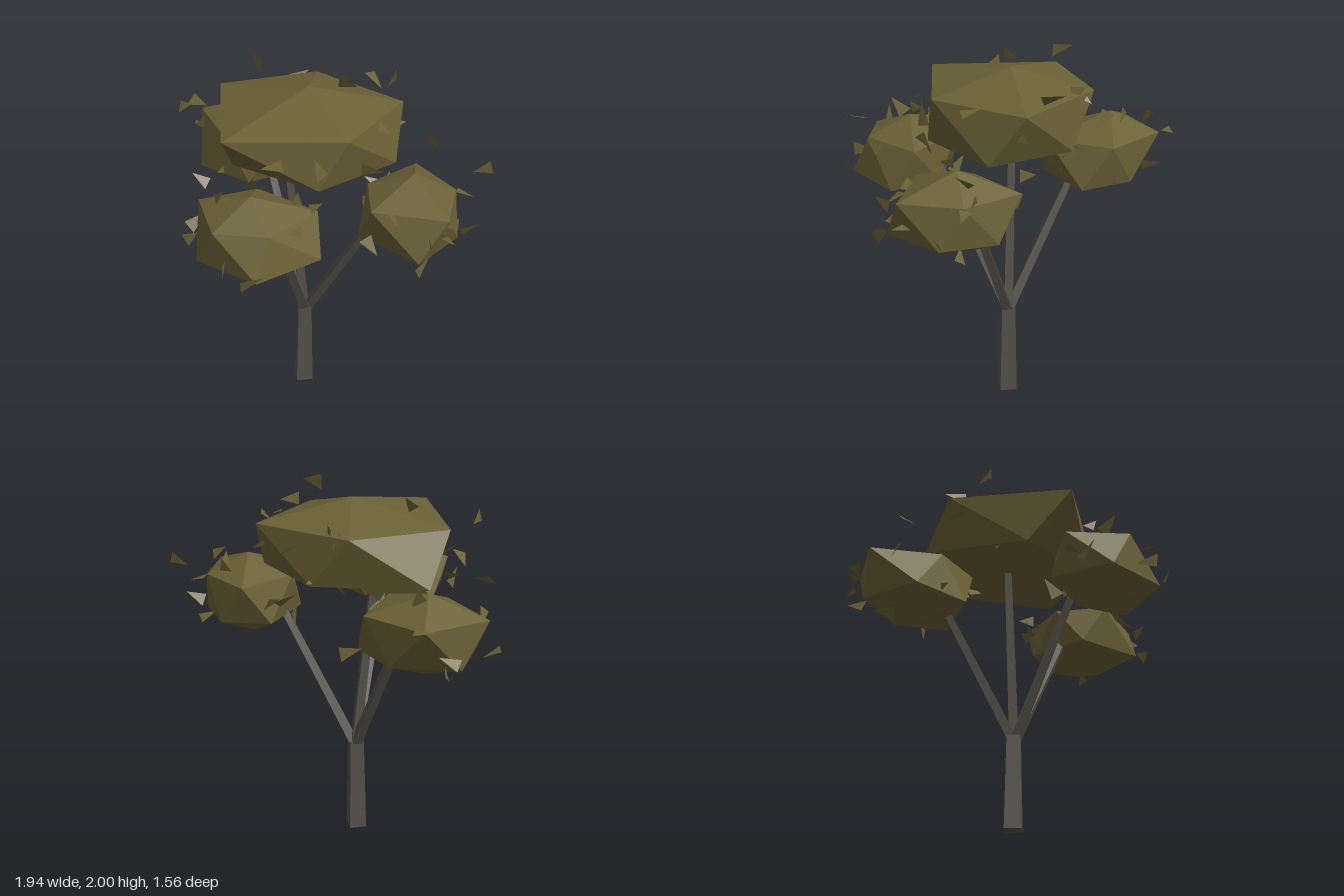
import * as THREE from 'three';

const bark = new THREE.MeshStandardMaterial({ color: 0x56524a });
bark.name = 'bark';
const foliage = new THREE.MeshStandardMaterial({ color: 0x6b6136, side: THREE.DoubleSide });
foliage.name = 'foliage';
bark.flatShading = foliage.flatShading = true;

// small seeded generator for the loose leaves
let seed = 11;
const rnd = () => {
  seed = (seed * 16807) % 2147483647;
  return seed / 2147483647;
};
const spread = () => rnd() * 2 - 1;

function facets(points, name) {
  const geo = new THREE.BufferGeometry().setFromPoints(points);
  geo.computeVertexNormals();
  const mesh = new THREE.Mesh(geo, foliage);
  mesh.name = name;
  return mesh;
}

// twenty-sided clump: top point, two staggered rings of five, bottom point
function clump({ name, top, bottom, upperY, lowerY, upper, lower }) {
  const T = new THREE.Vector3(...top), B = new THREE.Vector3(...bottom);
  const u = upper.map(([x, z]) => new THREE.Vector3(x, upperY, z));
  const l = lower.map(([x, z]) => new THREE.Vector3(x, lowerY, z));
  const pts = [];
  for (let i = 0; i < 5; i++) {
    const j = (i + 1) % 5;
    pts.push(T, u[i], u[j], u[i], l[i], u[j], l[i], l[j], u[j], B, l[j], l[i]);
  }
  return facets(pts, name);
}

// tapered square limb between two points
function limb(name, from, to, r0, r1) {
  const a = new THREE.Vector3(...from), b = new THREE.Vector3(...to);
  const dir = b.clone().sub(a);
  const mesh = new THREE.Mesh(new THREE.CylinderGeometry(r1, r0, dir.length(), 4), bark);
  mesh.position.copy(a).add(b).multiplyScalar(0.5);
  mesh.quaternion.setFromUnitVectors(new THREE.Vector3(0, 1, 0), dir.normalize());
  mesh.name = name;
  return mesh;
}

// one pointed triangular leaf
function leaf(p, size) {
  const q = new THREE.Quaternion(spread(), spread(), spread(), spread()).normalize();
  return [[-0.3, -0.35], [0.35, -0.3], [0.05, 0.65]].map(([x, y]) =>
    new THREE.Vector3(x * size, y * size, 0).applyQuaternion(q).add(p));
}

const clumps = [
  { name: 'crownClump', top: [0, 1.89, -0.16], bottom: [0.05, 1.43, -0.16], upperY: 1.775, lowerY: 1.51,
    upper: [[-0.54, -0.09], [-0.1, 0.43], [0.4, 0.04], [0.36, -0.51], [-0.22, -0.53]],
    lower: [[-0.22, 0.2], [0.3, 0.15], [0.44, -0.34], [0, -0.55], [-0.54, -0.29]] },
  { name: 'rightClump', top: [-0.6, 1.54, -0.41], bottom: [-0.56, 1.1, -0.36], upperY: 1.43, lowerY: 1.2,
    upper: [[-0.89, -0.32], [-0.55, -0.12], [-0.26, -0.22], [-0.34, -0.59], [-0.72, -0.65]],
    lower: [[-0.72, -0.11], [-0.38, -0.12], [-0.23, -0.47], [-0.5, -0.61], [-0.82, -0.46]] },
  { name: 'leftClump', top: [0.6, 1.53, -0.27], bottom: [0.59, 1.08, -0.25], upperY: 1.42, lowerY: 1.2,
    upper: [[0.36, -0.2], [0.54, 0.03], [0.9, -0.13], [0.76, -0.43], [0.44, -0.54]],
    lower: [[0.42, -0.04], [0.82, 0], [0.84, -0.34], [0.6, -0.52], [0.36, -0.4]] },
  { name: 'frontClump', top: [0.09, 1.54, 0.44], bottom: [0.11, 1.13, 0.45], upperY: 1.44, lowerY: 1.23,
    upper: [[-0.21, 0.49], [0.06, 0.7], [0.3, 0.56], [0.34, 0.21], [-0.04, 0.22]],
    lower: [[-0.06, 0.69], [0.31, 0.67], [0.43, 0.3], [0.15, 0.2], [-0.19, 0.36]] },
];

// leaves floating clear of the clumps
const strayLeaves = [
  [0.2, 1.95, -0.2], [-0.38, 1.9, -0.21], [0.02, 1.73, -0.73], [-0.53, 1.77, 0.22], [0.6, 1.74, 0.15],
  [0.49, 1.63, 0.45], [0.25, 1.85, -0.57], [0.16, 1.68, 0.33], [0.95, 1.43, -0.1], [-0.94, 1.29, -0.36],
  [0.16, 1.3, 0.74], [0.3, 1.25, 0.72], [-0.18, 1.28, 0.6], [-0.25, 1.5, 0.41], [-0.55, 1.62, 0],
  [-0.48, 1.6, -0.7], [-0.73, 1.45, -0.7], [0.5, 1.55, -0.6], [0.85, 1.52, -0.56], [0.6, 1.3, 0.12],
  [0.85, 1.2, 0.02], [-0.78, 1.57, -0.15], [-0.28, 1.24, -0.64],
];

export function createModel() {
  const tree = new THREE.Group();
  tree.name = 'tree';

  // trunk and branches
  tree.add(limb('trunk', [-0.008, 0, -0.148], [-0.008, 0.52, -0.148], 0.066, 0.052));
  const fork = [-0.005, 0.49, -0.15];
  [
    ['rightBranch', [-0.4, 1.27, -0.32]],
    ['leftBranch', [0.44, 1.27, -0.22]],
    ['frontBranch', [0.075, 1.3, 0.26]],
    ['crownBranch', [-0.1, 1.5, -0.1]],
  ].forEach(([name, end]) => tree.add(limb(name, fork, end, 0.035, 0.026)));

  // foliage clumps, each with leaves around its surface
  clumps.forEach((c, k) => {
    tree.add(clump(c));
    const pts = [];
    const mid = new THREE.Vector3(...c.top).add(new THREE.Vector3(...c.bottom)).multiplyScalar(0.5);
    const [rx, ry, rz] = k ? [0.32, 0.23, 0.28] : [0.46, 0.24, 0.42];
    for (let i = 0; i < 10; i++) {
      const d = new THREE.Vector3(spread(), spread() * 0.8, spread()).normalize();
      d.multiply(new THREE.Vector3(rx, ry, rz));
      pts.push(...leaf(mid.clone().add(d), 0.09 + rnd() * 0.04));
    }
    tree.add(facets(pts, c.name + 'Leaves'));
  });

  const stray = strayLeaves.flatMap((p) => leaf(new THREE.Vector3(...p), 0.1 + rnd() * 0.03));
  tree.add(facets(stray, 'strayLeaves'));
  return tree;
}
